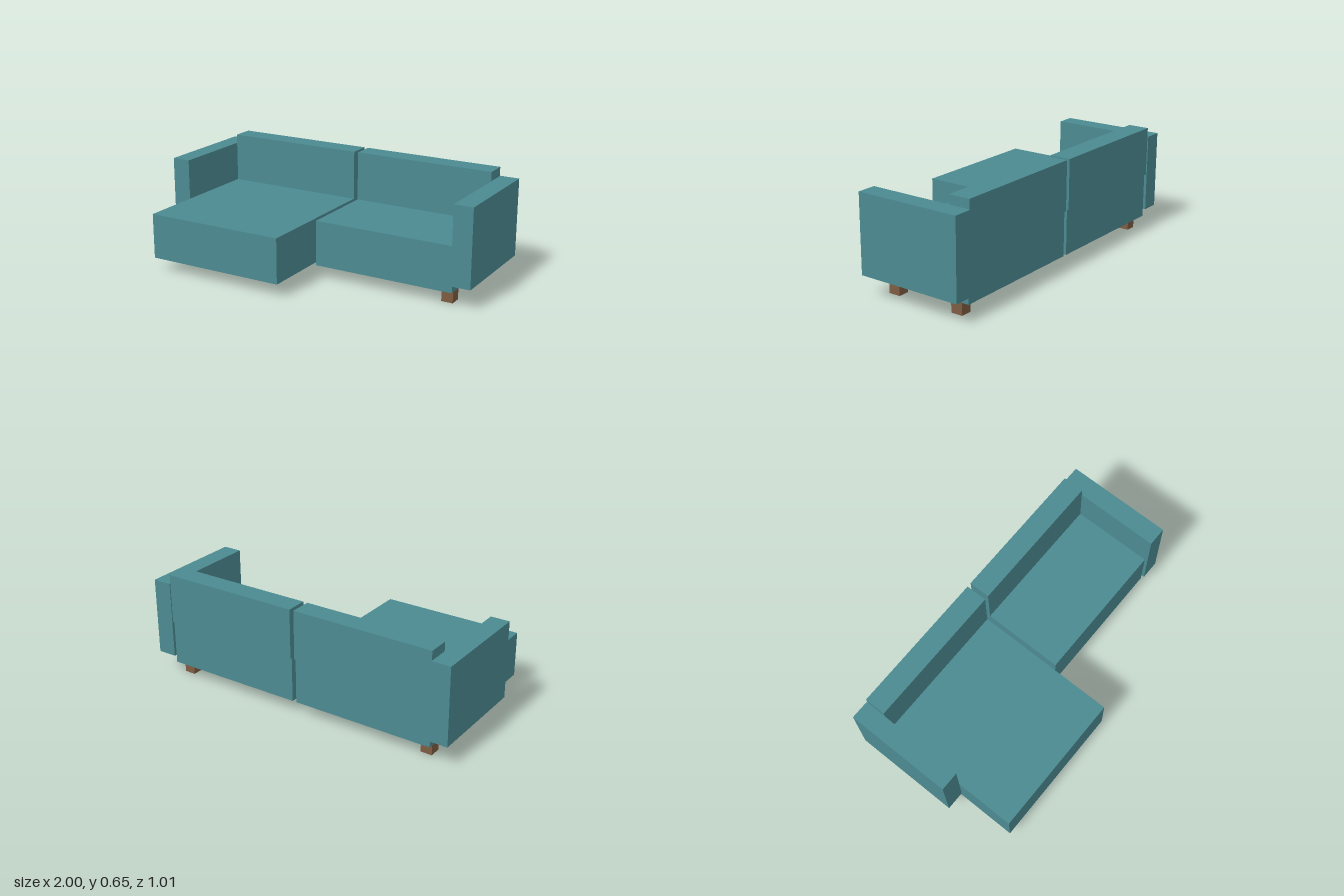
import * as THREE from 'three';

export function createModel() {
  const sofa = new THREE.Group();
  sofa.name = 'sectionalSofa';

  const tealFabric = new THREE.MeshStandardMaterial({ color: 0x4b8a91 });
  tealFabric.name = 'tealFabric';
  const brownWood = new THREE.MeshStandardMaterial({ color: 0x7d5c42 });
  brownWood.name = 'brownWood';

  // Adds a box given its extents along each axis
  function block(name, material, [x0, x1], [y0, y1], [z0, z1]) {
    const mesh = new THREE.Mesh(new THREE.BoxGeometry(x1 - x0, y1 - y0, z1 - z0), material);
    mesh.position.set((x0 + x1) / 2, (y0 + y1) / 2, (z0 + z1) / 2);
    mesh.name = name;
    sofa.add(mesh);
  }

  const rightSpan = [-0.886, -0.015];
  const leftSpan = [0.011, 0.883];
  const seatHeight = [0.082, 0.356];

  // Seats: long chaise on the right, short seat on the left
  block('chaiseSeat', tealFabric, rightSpan, seatHeight, [-0.49, 0.507]);
  block('leftSeat', tealFabric, leftSpan, seatHeight, [-0.49, 0.126]);

  // Backrests, slightly overhanging the seats behind
  block('rightBackrest', tealFabric, rightSpan, [0.356, 0.655], [-0.501, -0.371]);
  block('leftBackrest', tealFabric, leftSpan, [0.356, 0.655], [-0.501, -0.371]);

  // Armrests
  block('rightArmrest', tealFabric, [-1, -0.886], [0.129, 0.6], [-0.507, 0.145]);
  block('leftArmrest', tealFabric, [0.883, 1], [0.129, 0.6], [-0.507, 0.145]);

  // Four square legs
  for (const [side, span] of [['right', [-0.87, -0.801]], ['left', [0.797, 0.867]]]) {
    block(side + 'FrontLeg', brownWood, span, [0, 0.082], [0, 0.072]);
    block(side + 'BackLeg', brownWood, span, [0, 0.082], [-0.435, -0.362]);
  }

  return sofa;
}
